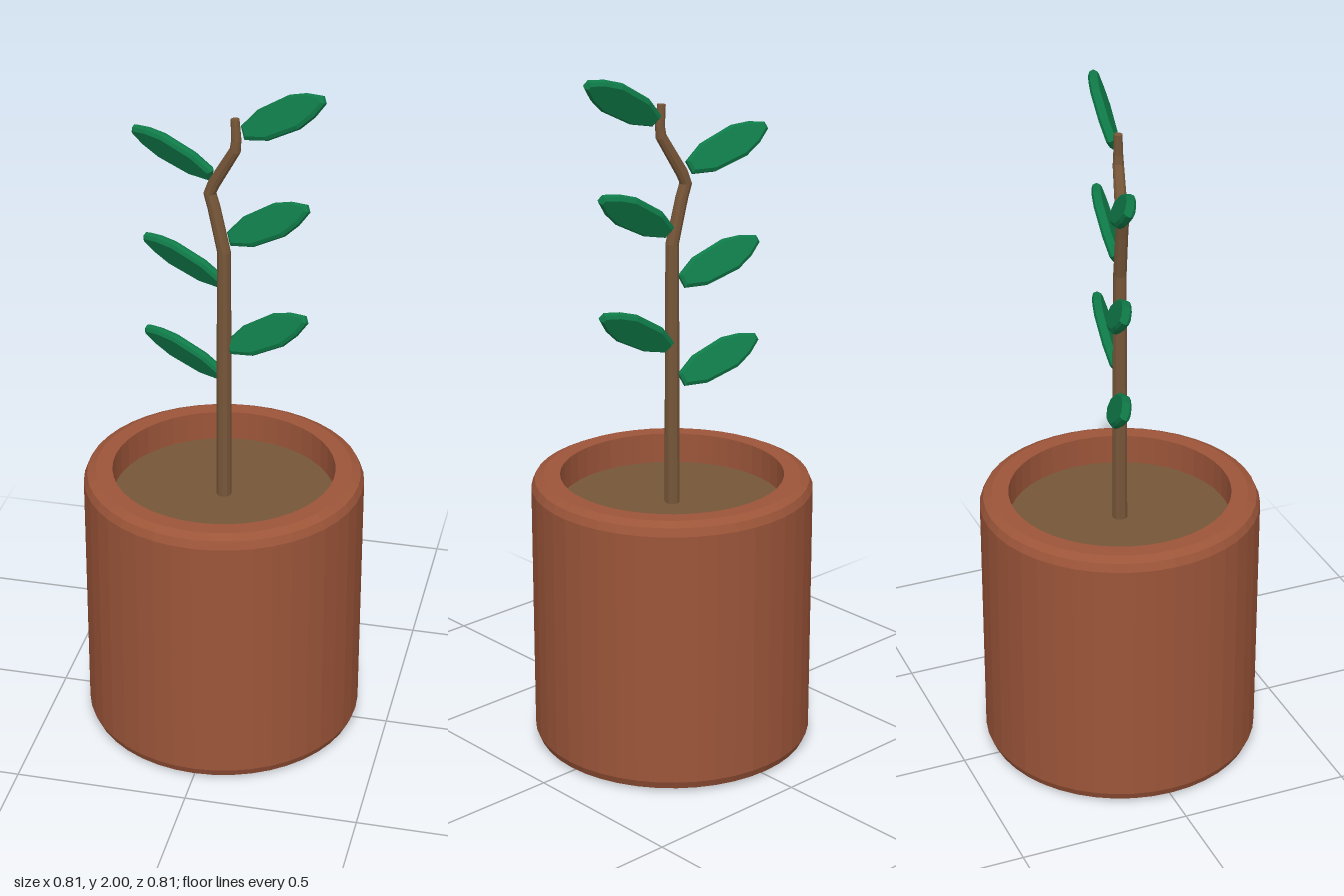
import * as THREE from 'three';

const flat = (name, color) => {
  const m = new THREE.MeshStandardMaterial({ color, flatShading: true });
  m.name = name;
  return m;
};

const V = (x, y, z) => new THREE.Vector3(x, y, z);

export function createModel() {
  const terracotta = flat('terracotta', 0x9c5539);
  const brown = flat('brown', 0x765638);
  const green = flat('leafGreen', 0x0f7a48);

  const plant = new THREE.Group();
  plant.name = 'pottedPlant';
  const add = (name, geometry, material) => {
    const mesh = new THREE.Mesh(geometry, material);
    mesh.name = name;
    plant.add(mesh);
    return mesh;
  };

  // Pot: closed base, chamfered outer edges, thick rim and inner wall
  const profile = [
    [0, 0], [0.37, 0], [0.395, 0.012], [0.405, 0.035], [0.405, 0.785],
    [0.395, 0.808], [0.37, 0.82], [0.322, 0.82], [0.322, 0.7],
  ].map(([r, y]) => new THREE.Vector2(r, y));
  add('pot', new THREE.LatheGeometry(profile, 44), terracotta);

  // Soil surface sunk below the rim
  add('soil', new THREE.CircleGeometry(0.322, 44).rotateX(-Math.PI / 2), brown).position.y = 0.73;

  // Stem: rings swept along a kinked line, thinner towards the top
  const joints = [
    [0, 0.72, 0, 0.022], [0, 1.2, 0, 0.021], [0, 1.5, 0, 0.019], [-0.03, 1.63, -0.007, 0.018],
    [-0.042, 1.67, -0.01, 0.018], [-0.03, 1.7, -0.008, 0.018], [0.033, 1.81, 0.009, 0.016],
    [0.036, 1.84, 0.01, 0.014], [0.032, 1.9, 0.008, 0.012],
  ];
  const sides = 10, pos = [], index = [];
  joints.forEach(([x, y, z, r], i) => {
    const a = joints[Math.max(i - 1, 0)], b = joints[Math.min(i + 1, joints.length - 1)];
    const dir = V(b[0] - a[0], b[1] - a[1], b[2] - a[2]).normalize();
    const turn = new THREE.Quaternion().setFromUnitVectors(V(0, 1, 0), dir);
    for (let k = 0; k < sides; k++) {
      const t = (k / sides) * Math.PI * 2;
      const p = V(Math.sin(t) * r, 0, Math.cos(t) * r).applyQuaternion(turn);
      pos.push(p.x + x, p.y + y, p.z + z);
      const n = (k + 1) % sides, o = i * sides;
      if (i) index.push(o - sides + k, o - sides + n, o + n, o - sides + k, o + n, o + k);
      else if (k > 1) index.push(0, k, k - 1);
    }
  });
  const top = (joints.length - 1) * sides;
  for (let k = 2; k < sides; k++) index.push(top, top + k - 1, top + k);
  const stem = new THREE.BufferGeometry();
  stem.setAttribute('position', new THREE.Float32BufferAttribute(pos, 3));
  stem.setIndex(index);
  stem.computeVertexNormals();
  add('stem', stem, brown);

  // Leaf blade: blunt outline with bevelled faces, running along local x
  const half = [[0.008, 0.014], [0.065, 0.036], [0.165, 0.04], [0.215, 0.026], [0.252, 0.006]];
  const outline = [...half.map(([x, w]) => [x, -w]), ...[...half].reverse()];
  const blade = new THREE.ExtrudeGeometry(
    new THREE.Shape(outline.map(([x, y]) => new THREE.Vector2(x, y))),
    { depth: 0.012, bevelThickness: 0.008, bevelSize: 0.008, bevelSegments: 1 },
  ).translate(0, 0, -0.006);

  // Alternating leaves, each side sharing one lean and tilt
  const leafRow = (name, base, tip, width, offsets) => {
    const axis = tip.clone().sub(base).normalize();
    const normal = axis.clone().cross(width).normalize();
    const across = normal.clone().cross(axis);
    const frame = new THREE.Matrix4().makeBasis(axis, across, normal);
    offsets.forEach(([x, y, z], i) => {
      const leaf = add(name + (i + 1), blade, green);
      leaf.quaternion.setFromRotationMatrix(frame);
      leaf.position.copy(base).add(V(x, y, z));
    });
  };
  leafRow('leftLeaf', V(0.015, 1.205, -0.004), V(0.235, 1.33, 0.026), V(-0.3, 0.75, -0.5),
    [[0, 0, 0], [0, 0.335, 0], [0.04, 0.655, 0.008]]);
  leafRow('rightLeaf', V(-0.012, 1.105, -0.026), V(-0.245, 1.195, -0.085), V(0.25, 0.8, 0.5),
    [[0, 0, 0], [0, 0.29, 0], [-0.028, 0.612, 0]]);

  return plant;
}
